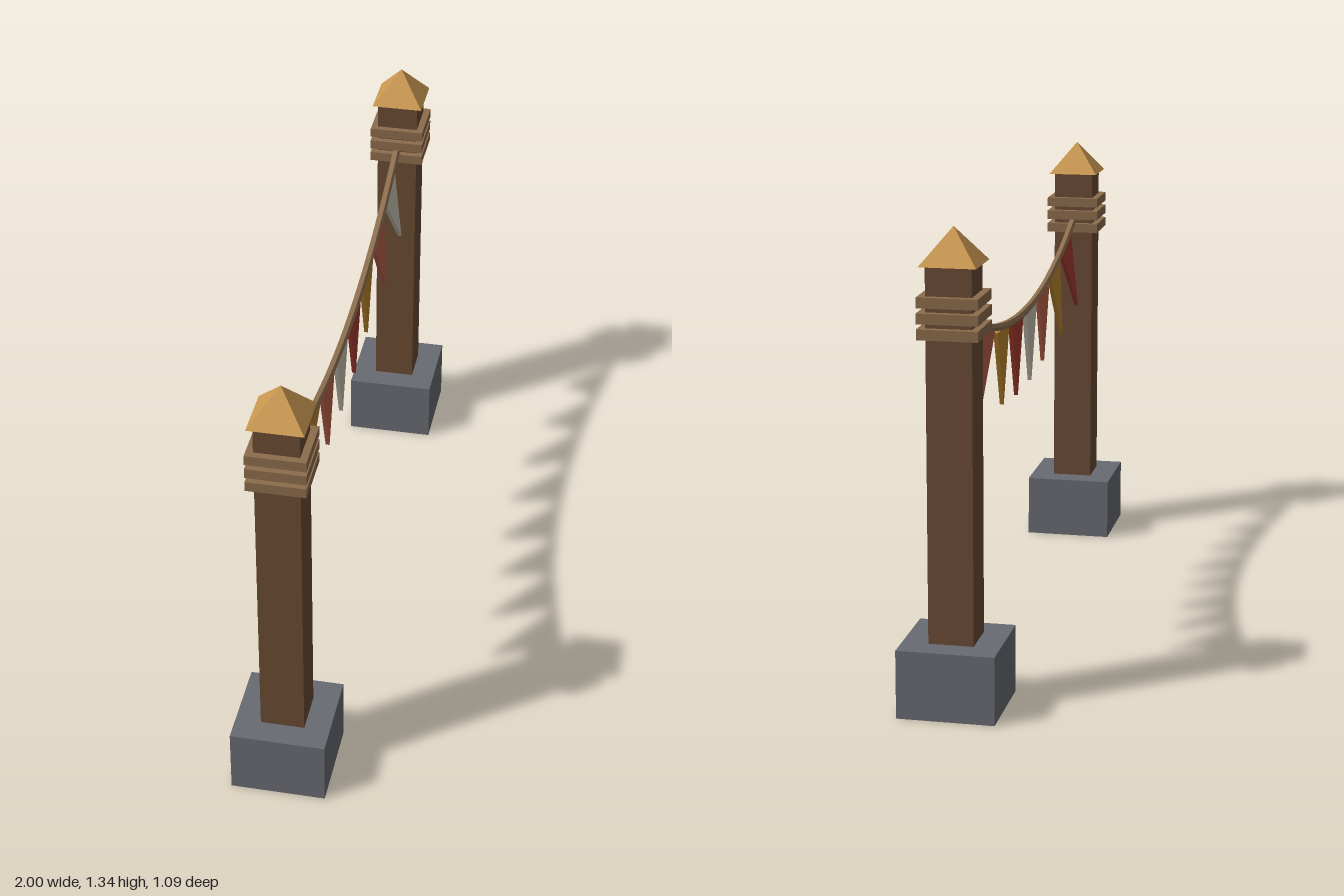
import * as THREE from 'three';

const YAW = THREE.MathUtils.degToRad(24); // the whole span stands diagonally
const POST_X = 0.895;                     // post distance from the centre, along the span
const ROPE_END = 0.83, ROPE_LOW = 0.929, ROPE_RISE = 0.156;

const mat = (color) => new THREE.MeshStandardMaterial({ color, flatShading: true });
const stone = mat(0x686b72), wood = mat(0x694a33), band = mat(0x8c6c4c);
const capWood = mat(0xcb9952), ropeMat = mat(0x8f7150);
const flagMats = [0xa53a30, 0xb98530, 0xb85f48, 0xc6c0b0].map(mat);

const ropeY = (x) => ROPE_LOW + ROPE_RISE * (x / ROPE_END) ** 2;

function add(parent, name, geometry, material, x = 0, y = 0, z = 0) {
  const mesh = new THREE.Mesh(geometry, material);
  mesh.name = name;
  mesh.position.set(x, y, z);
  parent.add(mesh);
  return mesh;
}

// Square post on a stone block, with three rope bands and a pyramid cap
function createPost(name, x) {
  const post = new THREE.Group();
  post.name = name;
  post.position.x = x;
  add(post, 'stoneBase', new THREE.BoxGeometry(0.275, 0.195, 0.275), stone, 0, 0.0975);
  add(post, 'postShaft', new THREE.BoxGeometry(0.127, 1.05, 0.127), wood, 0, 0.715);
  for (const y of [1.06, 1.103, 1.146]) {
    add(post, 'postBand', new THREE.BoxGeometry(0.168, 0.029, 0.168), band, 0, y);
  }
  const cap = new THREE.ConeGeometry(0.158 / Math.SQRT2, 0.1, 4);
  cap.rotateY(Math.PI / 4);
  add(post, 'postCap', cap, capWood, 0, 1.29);
  return post;
}

// Thin triangular pennant hanging from its origin
function pennantGeometry() {
  const shape = new THREE.Shape();
  shape.moveTo(-0.083, -0.005);
  shape.lineTo(0, -0.235);
  shape.lineTo(0.083, -0.005);
  shape.closePath();
  const geometry = new THREE.ExtrudeGeometry(shape, { depth: 0.012, bevelEnabled: false });
  geometry.translate(0, 0, -0.006);
  return geometry;
}

export function createModel() {
  const model = new THREE.Group();
  model.name = 'buntingGate';

  const span = new THREE.Group();
  span.name = 'span';
  span.rotation.y = YAW;
  model.add(span);
  span.add(createPost('rightPost', -POST_X), createPost('leftPost', POST_X));

  // Sagging rope
  const curve = new THREE.QuadraticBezierCurve3(
    new THREE.Vector3(-ROPE_END, ROPE_LOW + ROPE_RISE, 0),
    new THREE.Vector3(0, ROPE_LOW - ROPE_RISE, 0),
    new THREE.Vector3(ROPE_END, ROPE_LOW + ROPE_RISE, 0),
  );
  add(span, 'rope', new THREE.TubeGeometry(curve, 24, 0.012, 6), ropeMat);

  // Eight pennants, the outer ones tilted outwards
  const pennant = pennantGeometry();
  const spots = [[0.102, 0], [0.303, 0], [0.487, 0.18], [0.679, 0.3]];
  for (let i = 0; i < 8; i++) {
    const side = i < 4 ? -1 : 1;
    const [d, tilt] = spots[i < 4 ? 3 - i : i - 4];
    const x = side * d;
    const flag = add(model, 'pennant', pennant, flagMats[i % 4],
      x * Math.cos(YAW), ropeY(d), -x * Math.sin(YAW));
    flag.rotation.set(0, YAW, side * tilt, 'ZYX');
  }
  return model;
}
